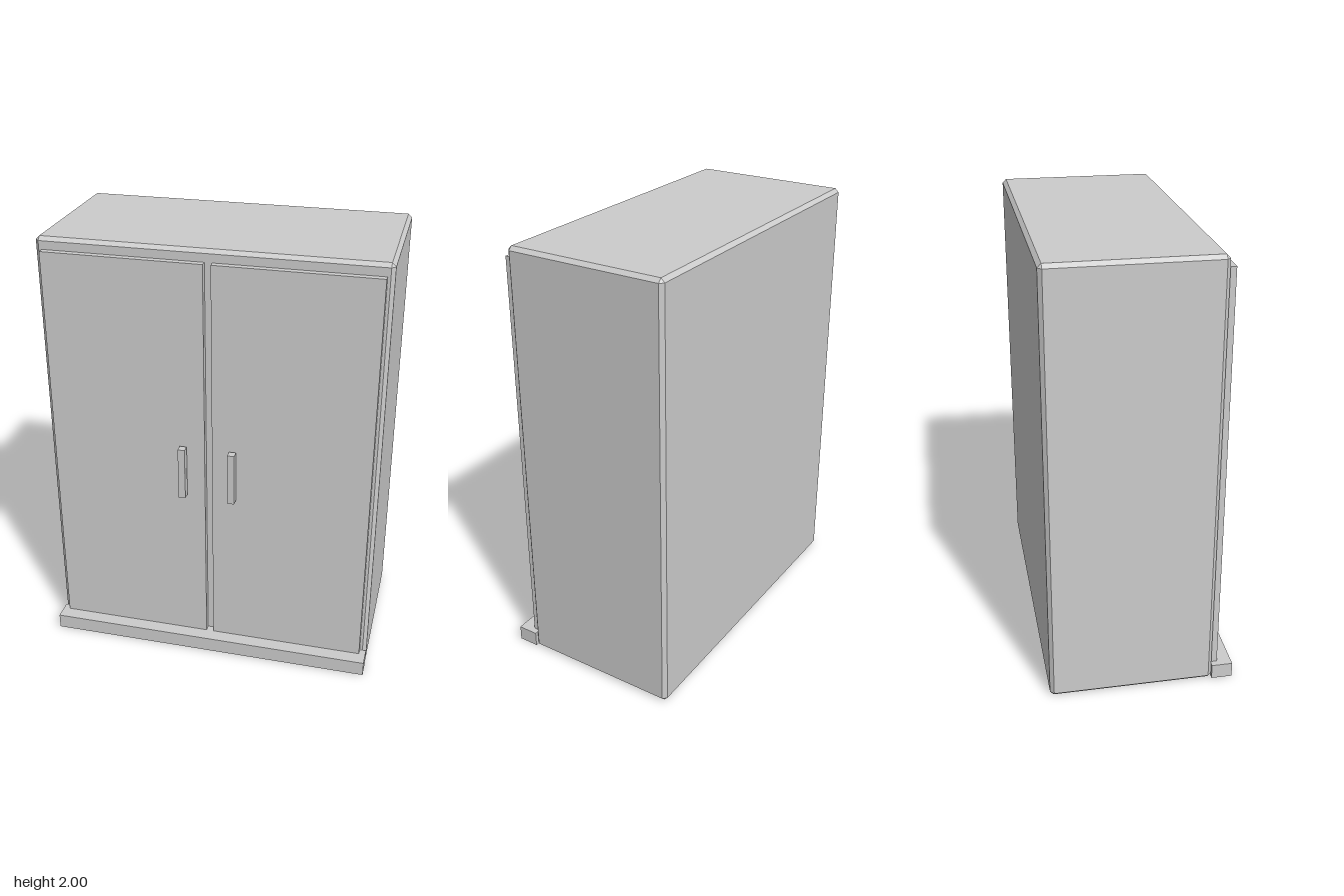
import * as THREE from 'three';
import { ConvexGeometry } from 'three/addons/geometries/ConvexGeometry.js';

const grey = new THREE.MeshStandardMaterial({ color: 0xcccccc });
grey.name = 'light grey';

// Box with every edge cut at 45 degrees
function chamferedBox(w, h, d, c) {
  const points = [];
  for (const sx of [-1, 1]) for (const sy of [-1, 1]) for (const sz of [-1, 1]) {
    for (const axis of ['x', 'y', 'z']) {
      const p = new THREE.Vector3(w / 2 - c, h / 2 - c, d / 2 - c);
      p[axis] += c;
      points.push(p.multiply(new THREE.Vector3(sx, sy, sz)));
    }
  }
  return new ConvexGeometry(points);
}

// Box given by its limits on each axis
function box(name, [x0, x1], [y0, y1], [z0, z1]) {
  const mesh = new THREE.Mesh(new THREE.BoxGeometry(x1 - x0, y1 - y0, z1 - z0), grey);
  mesh.position.set((x0 + x1) / 2, (y0 + y1) / 2, (z0 + z1) / 2);
  mesh.name = name;
  return mesh;
}

export function createModel() {
  const group = new THREE.Group();
  group.name = 'cabinet';

  // Body with bevelled edges
  const body = new THREE.Mesh(chamferedBox(1.53, 2, 0.745, 0.017), grey);
  body.name = 'body';
  body.position.set(0, 1, -0.0475);
  group.add(body);

  // Plinth along the front
  group.add(box('plinth', [-0.765, 0.765], [0, 0.07], [0.325, 0.42]));

  // Mirrored doors, each with a handle standing just off its face
  for (const [side, s] of [['left', 1], ['right', -1]]) {
    const span = (a, b) => (s > 0 ? [a, b] : [-b, -a]);
    group.add(box(side + 'Door', span(0.017, 0.735), [0.07, 1.945], [0.325, 0.355]));
    group.add(box(side + 'Handle', span(0.098, 0.13), [0.843, 1.09], [0.364, 0.4]));
  }
  return group;
}
